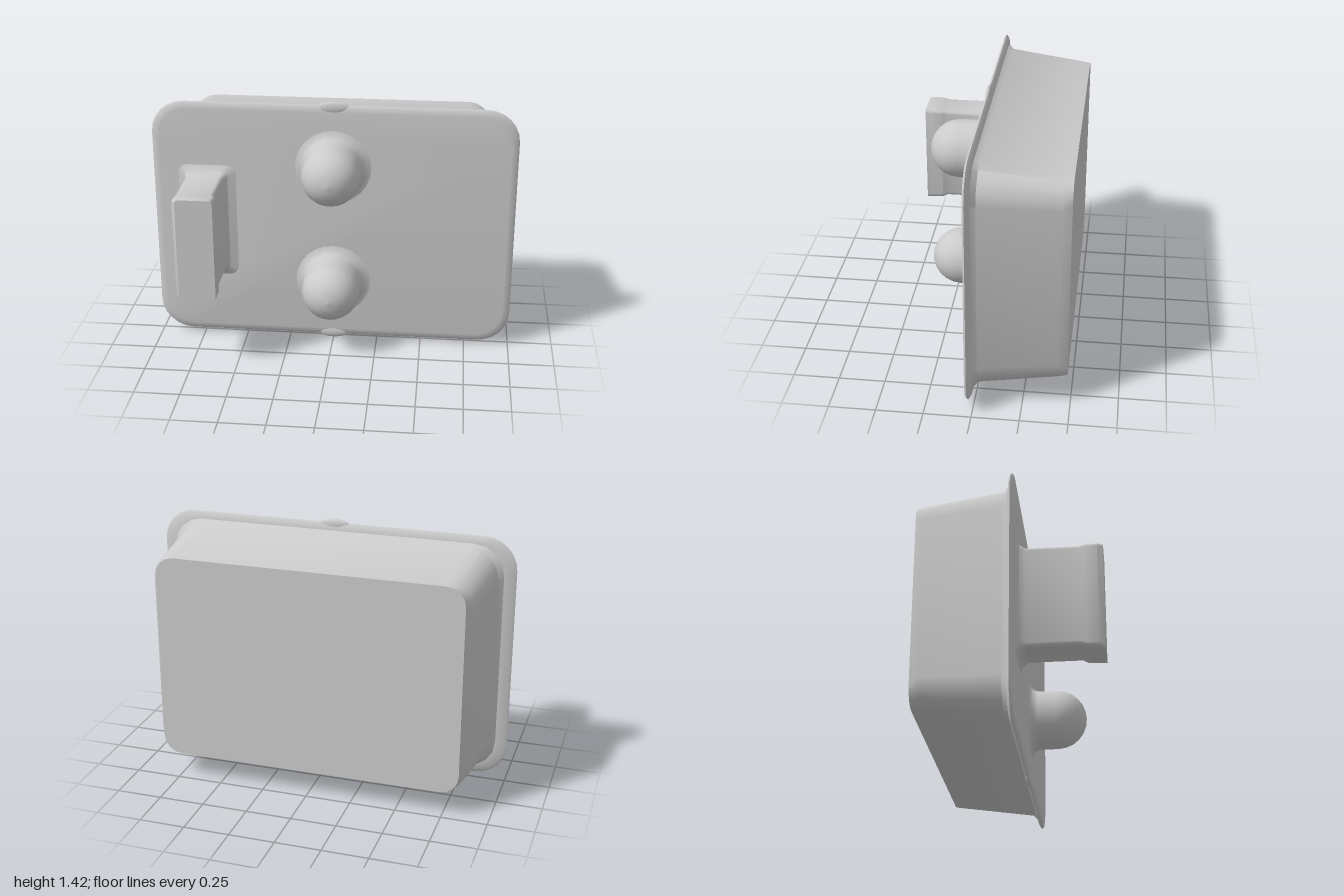
import * as THREE from 'three';
import { toCreasedNormals } from 'three/addons/utils/BufferGeometryUtils.js';

const CY = 0.72; // height of the plate centre
const FACE = 0.04; // z of the plate front

// Counter-clockwise rounded rectangle at depth z
function ring([x0, x1, y0, y1, r, z], seg) {
  const centres = [[x1 - r, y1 - r], [x0 + r, y1 - r], [x0 + r, y0 + r], [x1 - r, y0 + r]];
  const points = [];
  centres.forEach(([cx, cy], corner) => {
    for (let i = 0; i <= seg; i++) {
      const a = (corner + i / seg) * Math.PI / 2;
      points.push([cx + r * Math.cos(a), cy + r * Math.sin(a), z]);
    }
  });
  return points;
}

// Closed solid through rounded rectangles ordered from back to front
function loft(sections, seg, crease) {
  const rings = sections.map((s) => ring(s, seg));
  const n = rings[0].length;
  const positions = rings.flat(2);
  const index = [];
  for (let k = 0; k < rings.length - 1; k++) {
    for (let i = 0; i < n; i++) {
      const j = (i + 1) % n;
      const a = k * n + i, b = k * n + j;
      index.push(a, b, b + n, a, b + n, a + n);
    }
  }
  const last = (rings.length - 1) * n;
  for (let i = 1; i < n - 1; i++) {
    index.push(0, i + 1, i);
    index.push(last, last + i, last + i + 1);
  }
  const geometry = new THREE.BufferGeometry();
  geometry.setAttribute('position', new THREE.Float32BufferAttribute(positions, 3));
  geometry.setIndex(index);
  return toCreasedNormals(geometry, crease);
}

export function createModel() {
  const group = new THREE.Group();
  const material = new THREE.MeshStandardMaterial({ color: 0xcccccc });
  const add = (name, geometry, x = 0, y = 0, z = 0) => {
    const mesh = new THREE.Mesh(geometry, material);
    mesh.name = name;
    mesh.position.set(x, y, z);
    group.add(mesh);
    return mesh;
  };
  const centred = (hx, hy, r, z) => [-hx, hx, CY - hy, CY + hy, r, z];

  // Tapered box behind the plate, flaring out at its mouth
  add('housing', loft([
    centred(0.835, 0.572, 0.1, -0.48),
    centred(0.865, 0.578, 0.13, -0.43),
    centred(0.91, 0.63, 0.16, -0.02),
    centred(0.95, 0.662, 0.17, 0.02),
  ], 4, 0.7));

  // Thin plate with a soft rim
  add('facePlate', loft([
    centred(0.93, 0.65, 0.17, 0.005),
    centred(0.985, 0.68, 0.18, 0.015),
    centred(1, 0.69, 0.18, 0.025),
    centred(0.99, 0.682, 0.17, 0.035),
    centred(0.96, 0.65, 0.16, FACE),
  ], 6, 0.9));

  // Small rim bumps at the top and bottom
  for (const side of [1, -1]) {
    const bump = add('rimBump', new THREE.SphereGeometry(1, 16, 10), 0, CY + side * 0.675, 0.027);
    bump.scale.set(0.09, 0.035, 0.016);
  }

  // Domed knobs with a fillet at the base
  const profile = [[0.21, 0], [0.185, 0.008], [0.168, 0.025], [0.16, 0.05], [0.16, 0.145]];
  for (let i = 1; i <= 6; i++) {
    const a = i / 6 * Math.PI / 2;
    profile.push([0.16 * Math.cos(a), 0.145 + 0.16 * Math.sin(a)]);
  }
  const knob = new THREE.LatheGeometry(profile.map(([r, h]) => new THREE.Vector2(Math.max(r, 0), h)), 24);
  knob.rotateX(Math.PI / 2);
  for (const y of [0.38, 1.06]) add('knob', knob, 0, y, FACE);

  // Upright handle with a flared foot and a slightly wider grip
  add('handle', loft([
    [-0.86, -0.54, 0.39, 1.05, 0.05, FACE],
    [-0.825, -0.585, 0.42, 1.02, 0.03, 0.055],
    [-0.81, -0.605, 0.44, 1.0, 0.02, 0.085],
    [-0.81, -0.605, 0.44, 1.0, 0.02, 0.36],
    [-0.81, -0.59, 0.433, 1.008, 0.02, 0.385],
    [-0.81, -0.59, 0.428, 1.014, 0.025, 0.45],
    [-0.79, -0.59, 0.426, 1.014, 0.02, 0.48],
  ], 3, 0.6));

  return group;
}
